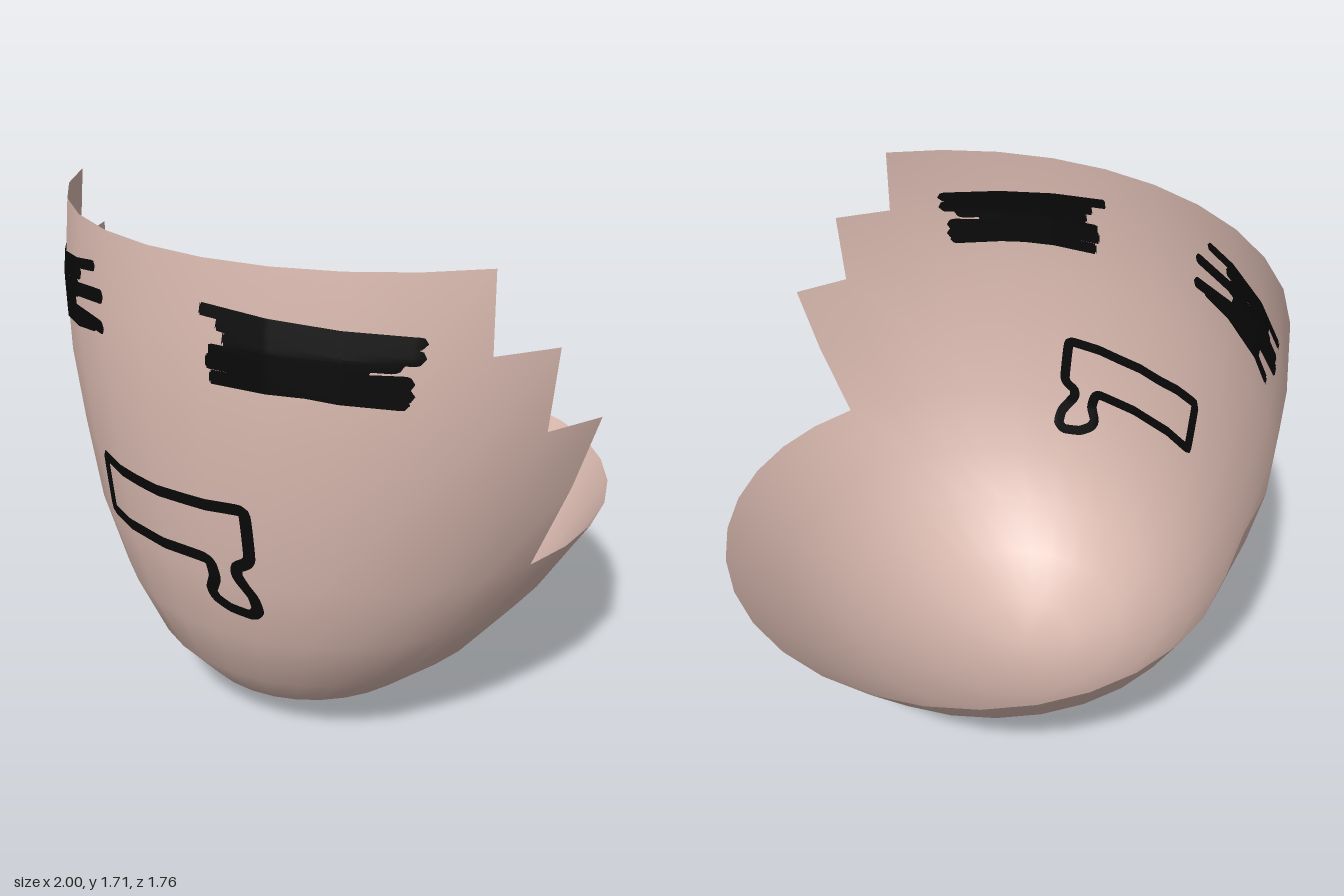
import * as THREE from 'three';
import { mergeGeometries } from 'three/addons/utils/BufferGeometryUtils.js';

const SIDES = 32;
const STEP = (Math.PI * 2) / SIDES;

// Rings of the leaning egg: height, radius, centre z, and how many facets are
// broken off each side of the band above the ring (null = band is whole)
const RINGS = [
  { y: 0.005, r: 0, c: 0.25, cut: null },
  { y: 0.04, r: 0.205, c: 0.235, cut: null },
  { y: 0.15, r: 0.405, c: 0.195, cut: null },
  { y: 0.3, r: 0.585, c: 0.138, cut: null },
  { y: 0.5, r: 0.74, c: 0.06, cut: null },
  { y: 0.73, r: 0.865, c: -0.015, cut: 1 },
  { y: 1.0, r: 0.958, c: -0.087, cut: 1 },
  { y: 1.23, r: 1.02, c: -0.136, cut: 2 },
  { y: 1.48, r: 1.039, c: -0.158, cut: 3 },
  { y: 1.715, r: 1.022, c: -0.168, cut: null },
];

function buildShell() {
  const pos = [], index = [];
  for (const { y, r, c } of RINGS) {
    for (let i = 0; i < SIDES; i++) {
      pos.push(r * Math.cos(i * STEP), y, c + r * Math.sin(i * STEP));
    }
  }
  for (let j = 0; j < RINGS.length - 1; j++) {
    const cut = RINGS[j].cut;
    const from = cut ?? 0;
    const to = cut === null ? SIDES : SIDES / 2 - cut;
    for (let i = from; i < to; i++) {
      const k = (i + 1) % SIDES;
      // the lowest ring is a single point, so it is shared by all facets
      const a = j ? j * SIDES + i : 0, b = j ? j * SIDES + k : 0;
      const d = (j + 1) * SIDES + i, e = (j + 1) * SIDES + k;
      if (j) index.push(a, d, b);
      index.push(b, d, e);
    }
  }
  const g = new THREE.BufferGeometry();
  g.setAttribute('position', new THREE.Float32BufferAttribute(pos, 3));
  g.setIndex(index);
  g.computeVertexNormals();
  return g;
}

// Radius and centre of the shell at a height
function ringAt(y) {
  let j = 0;
  while (j < RINGS.length - 2 && RINGS[j + 1].y < y) j++;
  const a = RINGS[j], b = RINGS[j + 1], t = (y - a.y) / (b.y - a.y);
  return { r: a.r + (b.r - a.r) * t, c: a.c + (b.c - a.c) * t };
}

// Depth of the faceted front surface at (x, y)
function frontZ(x, y) {
  const { r, c } = ringAt(y);
  const i = Math.floor(Math.acos(x / r) / STEP);
  const x0 = r * Math.cos(i * STEP), x1 = r * Math.cos((i + 1) * STEP);
  const t = (x - x0) / (x1 - x0);
  return c + r * ((1 - t) * Math.sin(i * STEP) + t * Math.sin((i + 1) * STEP));
}

// Point on the front of the shell, lifted off it by a small offset
function onShell(x, y, lift) {
  const { c } = ringAt(y), z = frontZ(x, y);
  const slopeY = (frontZ(x, y + 0.04) - frontZ(x, y - 0.04)) / 0.08;
  const n = new THREE.Vector3(x / (z - c), -slopeY, 1).normalize();
  return new THREE.Vector3(x, y, z).addScaledVector(n, lift);
}

// Round-ended marker stroke that follows the shell
function stroke(points, width, lift, closed = false) {
  const curve = new THREE.CatmullRomCurve3(
    points.map(([x, y]) => new THREE.Vector3(x, y, 0)), closed, 'catmullrom', closed ? 0.25 : 0.5);
  curve.arcLengthDivisions = 400;
  const length = curve.getLength(), n = Math.ceil(length / 0.009), across = 4;
  const pos = [], index = [];
  for (let i = 0; i <= n; i++) {
    const p = curve.getPointAt(i / n), t = curve.getTangentAt(i / n);
    const end = Math.min(1, Math.min(i, n - i) / n * length / (width / 2));
    const half = closed ? width / 2 : (width / 2) * Math.sqrt(1 - (1 - end) ** 2);
    for (let k = 0; k <= across; k++) {
      const s = (k / across * 2 - 1) * half;
      pos.push(...onShell(p.x - t.y * s, p.y + t.x * s, lift).toArray());
      if (i < n && k < across) {
        const a = i * (across + 1) + k, b = a + across + 1;
        index.push(a, b, a + 1, a + 1, b, b + 1);
      }
    }
  }
  const g = new THREE.BufferGeometry();
  g.setAttribute('position', new THREE.Float32BufferAttribute(pos, 3));
  g.setIndex(index);
  g.computeVertexNormals();
  return g;
}

// Scribbled brows: x0, y0, x1, y1, width
const RIGHT_BROW = [
  [-0.72, 1.51, -0.26, 1.595, 0.032],
  [-0.64, 1.492, -0.36, 1.55, 0.045],
  [-0.71, 1.445, -0.2, 1.52, 0.042],
  [-0.72, 1.415, -0.2, 1.425, 0.042],
  [-0.66, 1.43, -0.37, 1.5, 0.055],
  [-0.66, 1.46, -0.4, 1.44, 0.06],
  [-0.67, 1.34, -0.26, 1.415, 0.034],
  [-0.6, 1.385, -0.36, 1.41, 0.05],
];
const LEFT_BROW = [
  [0.21, 1.577, 0.75, 1.525, 0.036],
  [0.26, 1.545, 0.75, 1.485, 0.045],
  [0.28, 1.505, 0.71, 1.47, 0.055],
  [0.24, 1.465, 0.64, 1.45, 0.042],
  [0.23, 1.435, 0.73, 1.415, 0.045],
  [0.24, 1.39, 0.73, 1.38, 0.042],
  [0.34, 1.4, 0.72, 1.355, 0.036],
  [0.3, 1.42, 0.6, 1.4, 0.06],
];

// Outline of the nose with a drip hanging from its lower corner
const NOSE = [
  [-0.285, 0.975], [-0.1, 0.968], [0.1, 0.975], [0.29, 0.985], [0.308, 0.965],
  [0.308, 0.83], [0.295, 0.805], [0.265, 0.785], [0.262, 0.755], [0.3, 0.685],
  [0.303, 0.635], [0.28, 0.612], [0.215, 0.622], [0.175, 0.65], [0.165, 0.68],
  [0.187, 0.73], [0.18, 0.775], [0.155, 0.792], [-0.05, 0.787], [-0.28, 0.785],
  [-0.295, 0.8], [-0.295, 0.96],
];

export function createModel() {
  const group = new THREE.Group();
  const shellMat = new THREE.MeshStandardMaterial({ color: 0xdbbbb1, side: THREE.DoubleSide });
  shellMat.name = 'eggshell pink';
  const inkMat = new THREE.MeshStandardMaterial({ color: 0x080808, side: THREE.DoubleSide });
  inkMat.name = 'marker black';

  const add = (name, geometry, material) => {
    const mesh = new THREE.Mesh(geometry, material);
    mesh.name = name;
    group.add(mesh);
  };
  add('brokenShell', buildShell(), shellMat);

  // The ink shows on the outside and soaks through to the inside
  for (const [side, lift] of [['Outside', 0.004], ['Inside', -0.004]]) {
    const brow = (lines) => mergeGeometries(
      lines.map(([x0, y0, x1, y1, w]) => stroke([[x0, y0], [x1, y1]], w, lift)));
    add('rightBrow' + side, brow(RIGHT_BROW), inkMat);
    add('leftBrow' + side, brow(LEFT_BROW), inkMat);
    add('noseOutline' + side, stroke(NOSE, 0.038, lift, true), inkMat);
  }
  return group;
}
